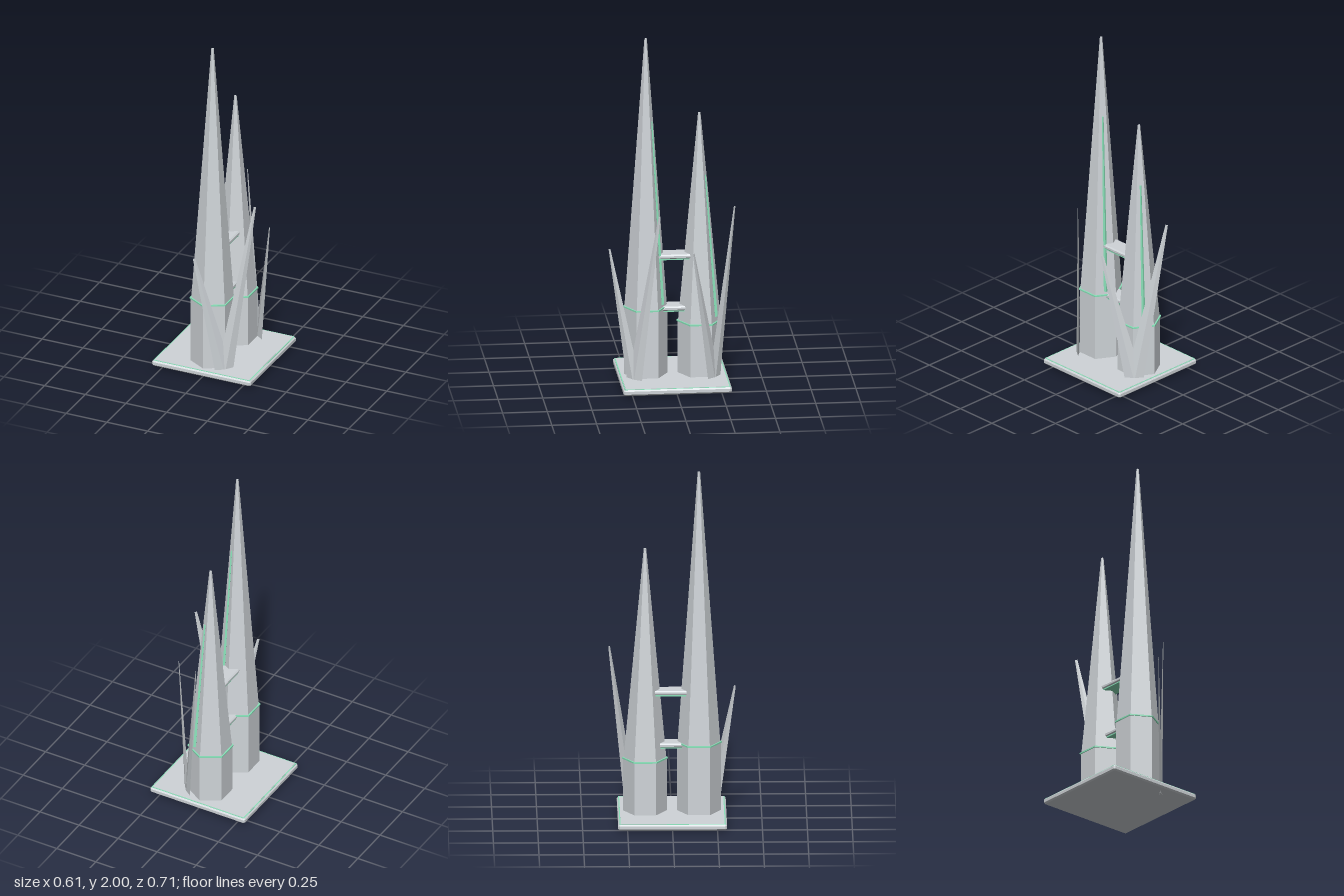
import * as THREE from 'three';

export function createModel() {
  const metal = new THREE.MeshStandardMaterial({ color: 0xcfd4d8 });
  metal.name = 'silver grey';
  const green = new THREE.MeshStandardMaterial({ color: 0x8ae2ba });
  green.name = 'jade green';

  const model = new THREE.Group();
  model.name = 'twinSpires';

  // Adds a mesh with hard, faceted edges
  function add(parent, name, geometry, material, x = 0, y = 0, z = 0) {
    const flat = geometry.index ? geometry.toNonIndexed() : geometry;
    flat.computeVertexNormals();
    const mesh = new THREE.Mesh(flat, material);
    mesh.name = name;
    mesh.position.set(x, y, z);
    parent.add(mesh);
    return mesh;
  }

  // Horizontal slab with chamfered edges and clipped corners, its underside at y = 0
  function slab(width, height, depth, bevel, clip) {
    const w = width / 2 - bevel, d = depth / 2 - bevel;
    const shape = new THREE.Shape([
      [-w + clip, -d], [w - clip, -d], [w, -d + clip], [w, d - clip],
      [w - clip, d], [-w + clip, d], [-w, d - clip], [-w, -d + clip],
    ].map(([x, y]) => new THREE.Vector2(x, y)));
    const g = new THREE.ExtrudeGeometry(shape, {
      depth: height - 2 * bevel, bevelEnabled: true,
      bevelSize: bevel, bevelThickness: bevel, bevelSegments: 1,
    });
    return g.rotateX(-Math.PI / 2).translate(0, bevel, 0);
  }

  // Base plate with a thin green border line
  add(model, 'basePlate', slab(0.606, 0.033, 0.606, 0.008, 0.004), metal, 0, 0.012, 0);
  add(model, 'baseBorder', new THREE.BoxGeometry(0.591, 0.002, 0.591), green, 0, 0.0452, 0);
  add(model, 'baseTop', new THREE.BoxGeometry(0.579, 0.002, 0.579), metal, 0, 0.0462, 0);

  // Hexagonal tower: plinth, green collar, spire and a raised seam on one face
  function tower(name, z, collarY, topY, seamFrom, seamTo) {
    const group = new THREE.Group();
    group.name = name;
    group.position.z = z;
    model.add(group);
    const rBase = 0.119, rTip = 0.007, floor = 0.03;
    add(group, 'plinth', new THREE.CylinderGeometry(0.122, 0.122, collarY - floor, 6), metal, 0, (collarY + floor) / 2, 0);
    add(group, 'collar', new THREE.CylinderGeometry(0.128, 0.128, 0.008, 6), green, 0, collarY, 0);
    add(group, 'spire', new THREE.CylinderGeometry(rTip, rBase, topY - collarY, 6), metal, 0, (topY + collarY) / 2, 0);

    const slope = (rBase - rTip) * Math.cos(Math.PI / 6) / (topY - collarY);
    const mid = (seamFrom + seamTo) / 2;
    const apothem = rTip * Math.cos(Math.PI / 6) + slope * (topY - mid);
    const holder = new THREE.Group();
    holder.name = 'seamHolder';
    holder.rotation.y = Math.PI * 5 / 6;
    group.add(holder);
    const g = new THREE.CylinderGeometry(0.005, 0.011, seamTo - seamFrom, 4);
    add(holder, 'seam', g, green, 0, mid, apothem + 0.001).rotation.x = -Math.atan(slope);
  }
  tower('frontTower', 0.15, 0.44, 2.0, 0.46, 1.52);
  tower('backTower', -0.15, 0.35, 1.56, 0.38, 1.2);

  // Bridges between the towers, each with a green underside
  for (const [name, y] of [['lowerBridge', 0.42], ['upperBridge', 0.722]]) {
    add(model, name, slab(0.102, 0.025, 0.26, 0.007, 0), metal, 0, y, 0);
    add(model, name + 'Underside', new THREE.BoxGeometry(0.09, 0.008, 0.24), green, 0, y - 0.002, 0);
  }

  // V-shaped pair of thin blades with a diamond cross-section
  function fin(name, z, angle, blades) {
    const group = new THREE.Group();
    group.name = name;
    group.position.set(0.1075, 0, z);
    group.rotation.y = angle;
    model.add(group);
    for (const [part, u, foot, top] of blades) {
      const h = top - foot, length = Math.hypot(u, h);
      const g = new THREE.CylinderGeometry(0.007, 0.05, length, 4).scale(1, 1, 0.18);
      add(group, part, g, metal, u / 2, foot + h / 2, 0).rotation.z = -Math.atan2(u, h);
    }
  }
  fin('frontFin', 0.2225, Math.PI / 4, [['tallBlade', 0.18, 0.024, 1.03], ['shortBlade', -0.18, 0.0115, 0.77]]);
  fin('backFin', -0.2225, Math.PI * 3 / 4, [['tallBlade', 0.18, 0.024, 1.0], ['shortBlade', -0.18, 0.024, 0.81]]);

  return model;
}
